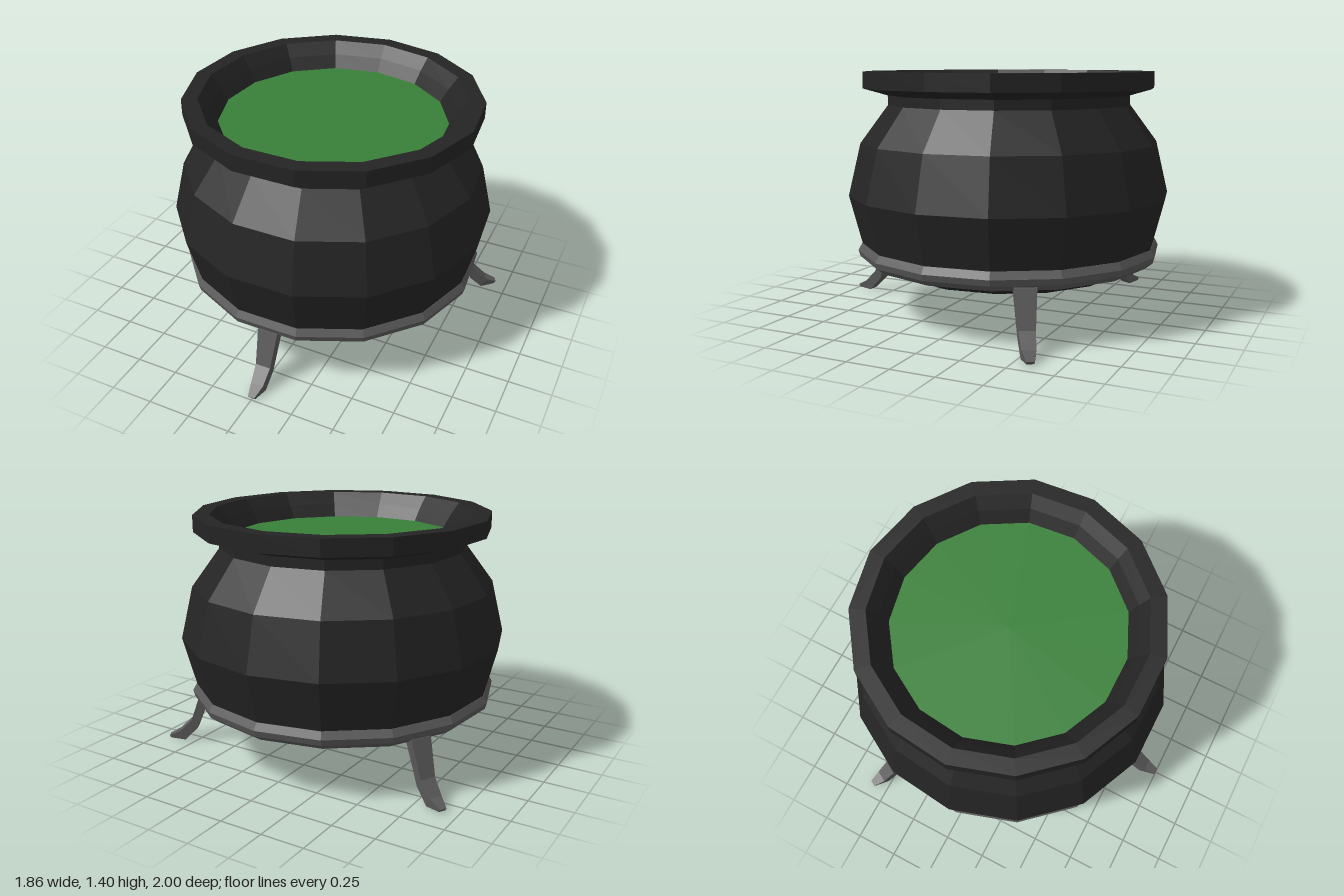
import * as THREE from 'three';

const SIDES = 15;

const flat = (name, color, side = THREE.FrontSide) =>
  Object.assign(new THREE.MeshStandardMaterial({ color, flatShading: true, side }), { name });

// Revolve [radius, height] pairs, with one corner pointing to the back
function lathe(profile) {
  const points = profile.map(([r, y]) => new THREE.Vector2(r, y));
  return new THREE.LatheGeometry(points, SIDES, Math.PI);
}

// Curved, tapering leg: a box whose rows follow outer and inner edges
function legGeometry() {
  // outer radius, outer y, inner radius, inner y, width
  const rows = [
    [0.82, 0.38, 0.76, 0.37, 0.12],
    [0.85, 0.33, 0.80, 0.30, 0.12],
    [0.92, 0.13, 0.885, 0.08, 0.09],
    [0.995, 0.055, 0.965, 0, 0.075],
    [1.065, 0.02, 1.055, 0.005, 0.04],
  ];
  const last = rows.length - 1;
  const geometry = new THREE.BoxGeometry(1, 1, 1, 1, last, 1);
  const p = geometry.attributes.position;
  for (let i = 0; i < p.count; i++) {
    const [ro, yo, ri, yi, w] = rows[Math.round((0.5 - p.getY(i)) * last)];
    const outer = p.getZ(i) > 0;
    p.setXYZ(i, p.getX(i) * w, outer ? yo : yi, outer ? ro : ri);
  }
  geometry.computeVertexNormals();
  return geometry;
}

export function createModel() {
  const model = new THREE.Group();
  model.name = 'cauldron';
  const iron = flat('black iron', 0x242424, THREE.DoubleSide);
  const steel = flat('grey metal', 0x595959);
  const green = flat('green liquid', 0x388038);

  const add = (name, geometry, material) => {
    const mesh = new THREE.Mesh(geometry, material);
    mesh.name = name;
    mesh.position.z = -0.065;
    model.add(mesh);
    return mesh;
  };

  // Rounded pot, neck, rim and inner lip
  add('pot', lathe([
    [0, 0.15], [0.365, 0.17], [0.665, 0.25], [0.865, 0.42], [0.937, 0.7],
    [0.865, 1.0], [0.705, 1.215], [0.705, 1.27], [0.845, 1.31], [0.845, 1.405],
    [0.755, 1.405], [0.7, 1.335], [0.645, 1.25],
  ]), iron);

  // Liquid surface
  const surface = new THREE.CircleGeometry(0.652, SIDES, Math.PI / 2);
  surface.rotateX(-Math.PI / 2).translate(0, 1.262, 0);
  add('liquid', surface, green);

  // Support band around the pot
  add('supportRing', lathe([
    [0.7, 0.31], [0.835, 0.31], [0.88, 0.345], [0.89, 0.38], [0.868, 0.42], [0.82, 0.42],
  ]), steel);

  // Three legs, one at the front
  const leg = legGeometry();
  ['frontLeg', 'leftBackLeg', 'rightBackLeg'].forEach((name, i) => {
    add(name, leg, steel).rotation.y = (i * Math.PI * 2) / 3;
  });
  return model;
}
